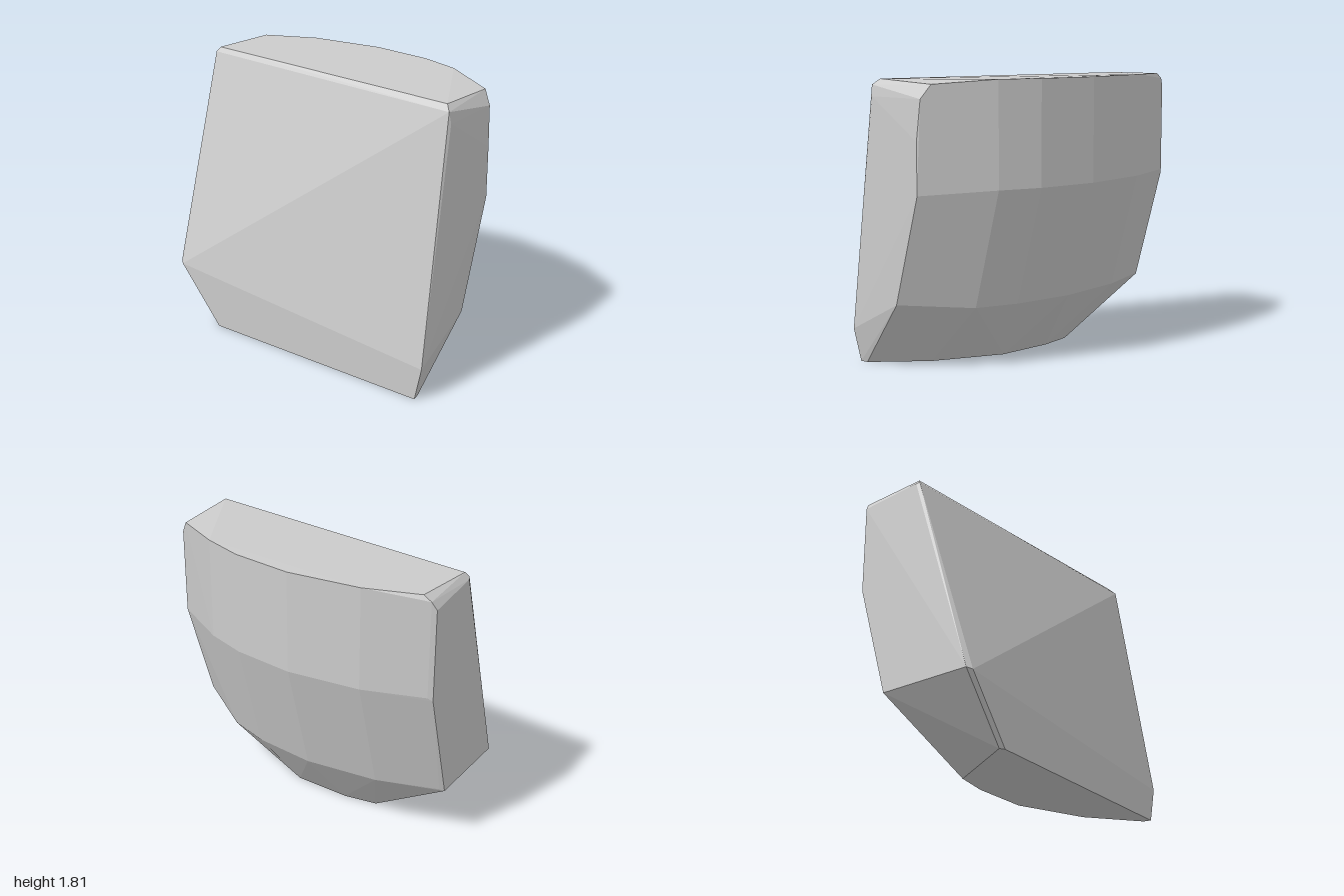
import * as THREE from 'three';
import { ConvexGeometry } from 'three/addons/geometries/ConvexGeometry.js';

export function createModel() {
  const group = new THREE.Group();
  group.name = 'facetedBlock';
  const points = [];
  const add = (x, y, z) => points.push(new THREE.Vector3(x, y, z));

  // Curved back: one arc (x, z) repeated at several heights, stepping forward lower down
  const arc = [[-0.97, -0.345], [-0.58, -0.475], [-0.1, -0.525], [0.31, -0.475], [0.58, -0.385]];
  const rows = [[1.81, 0], [1.15, 0], [0.4, 0.21]];
  for (const [y, shift] of rows) {
    for (const [x, z] of arc) add(x, x < -0.9 && y > 1.5 ? 1.77 : y, z + shift);
  }
  add(-0.92, 1.805, -0.35);

  // Left side's back edge, with a softened top corner
  for (const [x, y, z] of [
    [0.93, 1.785, -0.185], [0.985, 1.7, -0.15], [1, 1.45, -0.13], [1, 1.13, -0.13], [0.99, 0.44, 0.09],
  ]) add(x, y, z);

  // Right side's back edge
  for (const [y, z] of [[1.72, -0.33], [1.13, -0.33], [0.39, -0.12]]) add(-1, y, z);

  // Bottom outline
  for (const [x, z] of [
    [0.93, 0.47], [0.62, 0.2], [0.18, 0], [-0.2, -0.015], [-0.42, 0.02],
    [-0.69, 0.49], [-0.66, 0.51], [0.94, 0.52],
  ]) add(x, 0, z);

  // Sloping front face and its narrow bevels
  for (const [x, y, z] of [
    [-0.97, 0.38, 0.515], [-1, 0.39, 0.49], [0.99, 0.22, 0.525],
    [-0.98, 1.77, 0.09], [-0.96, 1.8, 0.07], [-0.99, 1.76, 0.07],
    [0.985, 1.77, 0.3], [0.95, 1.805, 0.265], [0.995, 1.7, 0.29],
  ]) add(x, y, z);

  const block = new THREE.Mesh(
    new ConvexGeometry(points),
    new THREE.MeshStandardMaterial({ color: 0xcccccc, flatShading: true })
  );
  block.name = 'block';
  group.add(block);
  return group;
}
